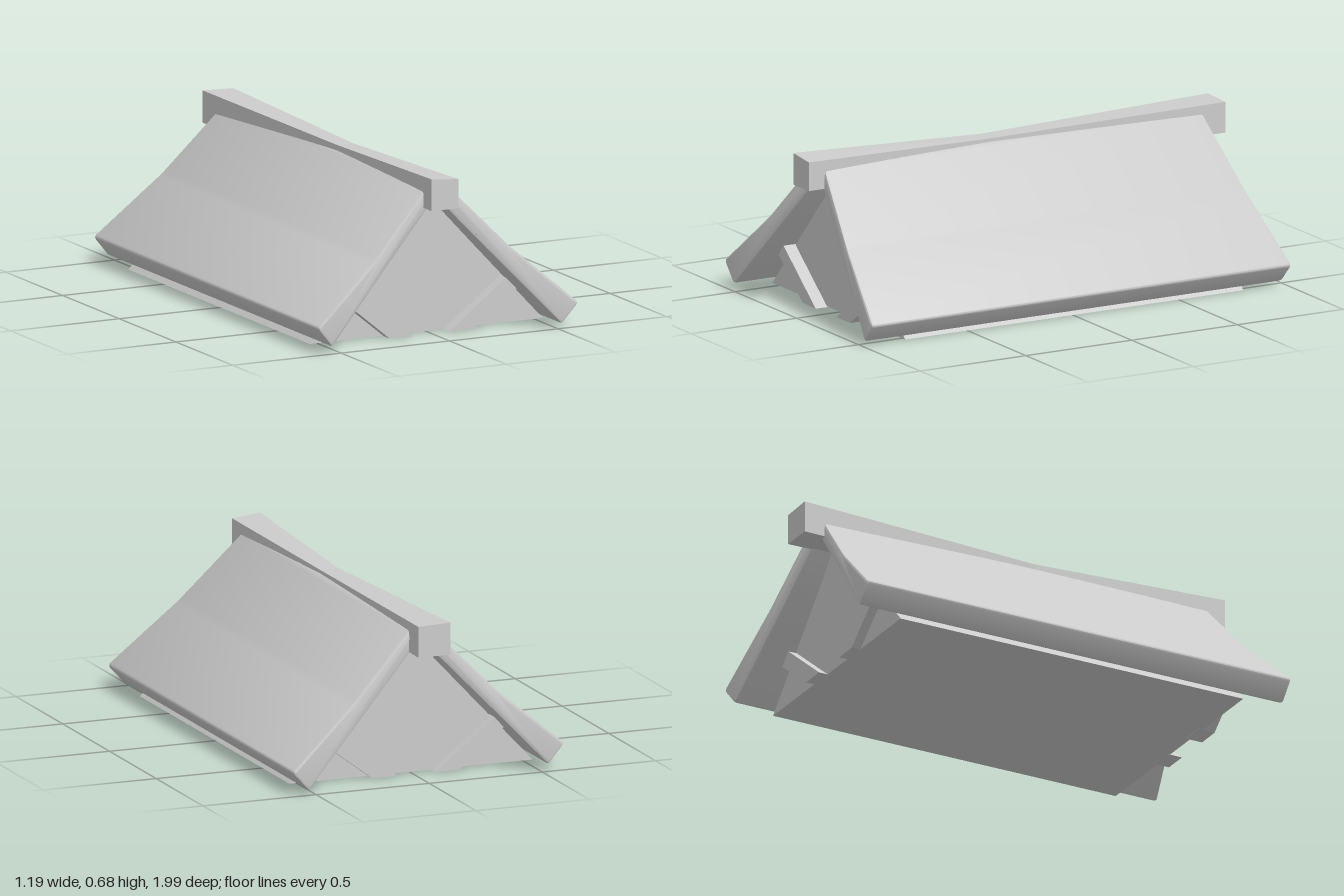
import * as THREE from 'three';
import { toCreasedNormals } from 'three/addons/utils/BufferGeometryUtils.js';

const material = new THREE.MeshStandardMaterial({ color: 0xcccccc });

function part(name, geometry) {
  const mesh = new THREE.Mesh(geometry, material);
  mesh.name = name;
  return mesh;
}

// Prism from an x-y outline, running from z0 to z1.
function prism(name, points, z0, z1) {
  const shape = new THREE.Shape(points.map(([x, y]) => new THREE.Vector2(x, y)));
  const geometry = new THREE.ExtrudeGeometry(shape, { depth: z1 - z0, bevelEnabled: false });
  return part(name, geometry.translate(0, 0, z0));
}

// Outline whose corners are softened by a small radius.
function roundedShape(points, radius) {
  const corners = points.map(([x, y]) => new THREE.Vector2(x, y));
  const shape = new THREE.Shape();
  corners.forEach((p, i) => {
    const prev = corners[(i + corners.length - 1) % corners.length];
    const next = corners[(i + 1) % corners.length];
    const a = prev.clone().sub(p).setLength(radius).add(p);
    const b = next.clone().sub(p).setLength(radius).add(p);
    if (i === 0) shape.moveTo(a.x, a.y);
    else shape.lineTo(a.x, a.y);
    shape.quadraticCurveTo(p.x, p.y, b.x, b.y);
  });
  shape.closePath();
  return shape;
}

// Half length of a roof slab: it flares from ridge to eaves.
function halfLength(x) {
  const d = Math.abs(x);
  return d < 0.2
    ? THREE.MathUtils.mapLinear(d, 0.03, 0.2, 0.895, 0.925)
    : THREE.MathUtils.mapLinear(d, 0.2, 0.54, 0.925, 0.99);
}

// Bent, thick roof slab with softened edges.
function roofSlab(name, points) {
  const bevel = 0.012;
  const geometry = new THREE.ExtrudeGeometry(roundedShape(points, 0.016), {
    depth: 2 - 2 * bevel,
    curveSegments: 3,
    bevelSize: bevel,
    bevelThickness: bevel,
    bevelOffset: -bevel,
    bevelSegments: 2,
  });
  geometry.translate(0, 0, bevel - 1);
  const p = geometry.attributes.position;
  for (let i = 0; i < p.count; i++) {
    p.setZ(i, p.getZ(i) * Math.min(halfLength(p.getX(i)), 0.992));
  }
  return part(name, toCreasedNormals(geometry, 0.6));
}

// Ridge beam: a box with a waist, sagging in the middle.
function ridgeBeam() {
  const sections = [ // z, left, right, bottom, top left, top right
    [-1.0, -0.093, 0.048, 0.535, 0.67, 0.665],
    [0.1, -0.05, 0.028, 0.54, 0.652, 0.65],
    [0.975, -0.07, 0.055, 0.547, 0.68, 0.668],
  ];
  let geometry = new THREE.BoxGeometry(2, 2, 2, 1, 1, 2);
  const p = geometry.attributes.position;
  for (let i = 0; i < p.count; i++) {
    const [z, left, right, bottom, topL, topR] = sections[Math.round(p.getZ(i)) + 1];
    const isRight = p.getX(i) > 0;
    const top = isRight ? topR : topL;
    p.setXYZ(i, isRight ? right : left, p.getY(i) > 0 ? top : bottom, z);
  }
  geometry = geometry.toNonIndexed();
  geometry.computeVertexNormals();
  return part('ridgeBeam', geometry);
}

export function createModel() {
  const roof = new THREE.Group();
  roof.name = 'roof';

  // Solid gable body
  roof.add(prism('gableBody', [[-0.54, 0.005], [0.535, 0.005], [0, 0.585]], -0.8, 0.8));

  // Roof slabs: outer face down to the eaves, then inner face back up
  roof.add(roofSlab('leftRoofSlab', [
    [0.0, 0.645], [0.04, 0.632], [0.31, 0.355], [0.602, 0.1],
    [0.525, 0.015], [0.205, 0.355], [0.0, 0.575],
  ]));
  roof.add(roofSlab('rightRoofSlab', [
    [0.0, 0.645], [-0.05, 0.632], [-0.315, 0.357], [-0.604, 0.112],
    [-0.533, 0.025], [-0.28, 0.295], [0.0, 0.59],
  ]));

  roof.add(ridgeBeam());

  // Diagonal braces on both gable ends
  const braces = [
    ['leftBrace', [[0.075, 0.004], [0.185, 0.004], [0.385, 0.155], [0.335, 0.205]]],
    ['rightBrace', [[-0.2, 0.004], [-0.095, 0.002], [-0.355, 0.21], [-0.395, 0.165]]],
  ];
  for (const [name, outline] of braces) {
    roof.add(prism(name + 'Front', outline, 0.78, 0.855));
    roof.add(prism(name + 'Back', outline, -0.84, -0.78));
  }
  return roof;
}
